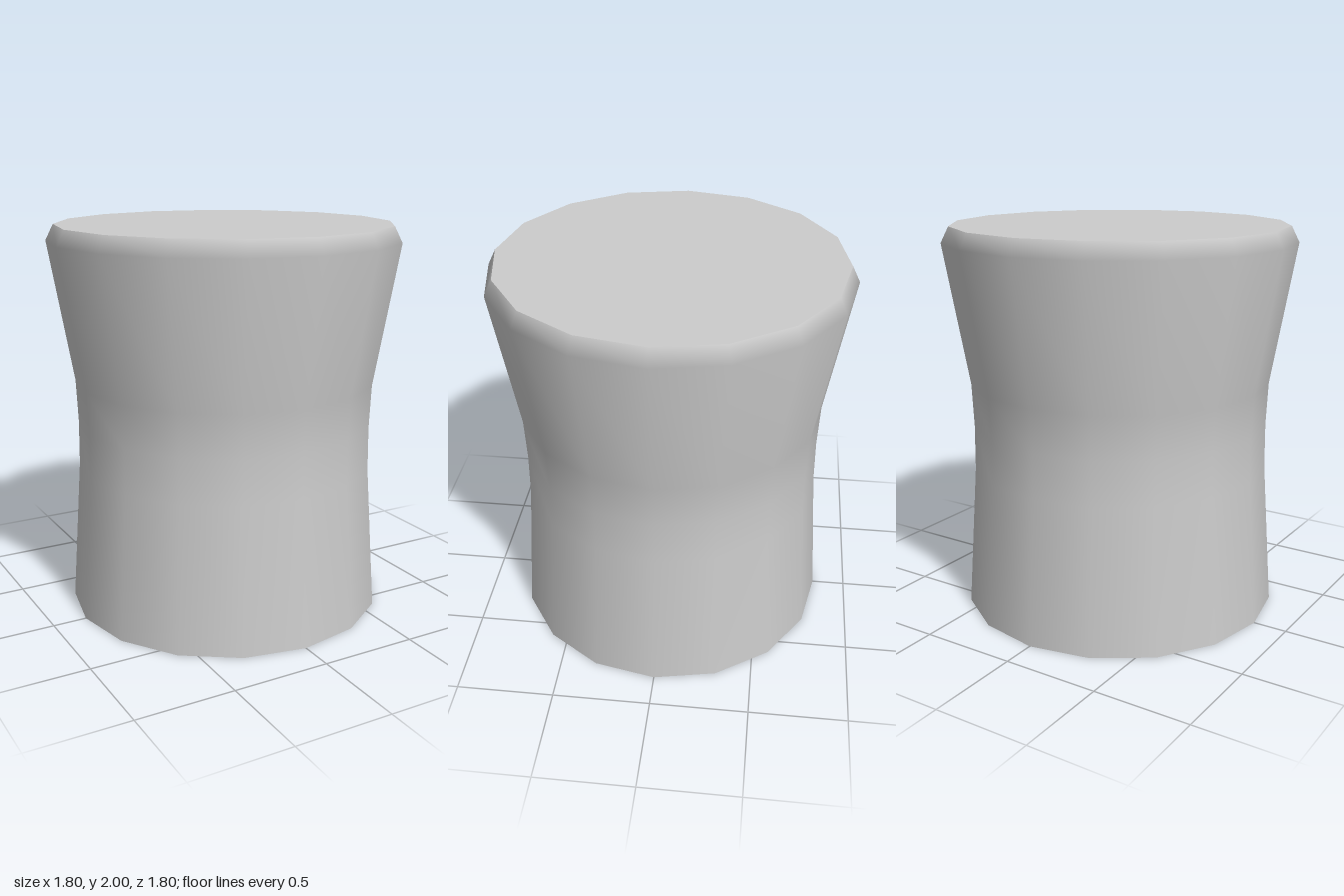
import * as THREE from 'three';

const SIDES = 16;

export function createModel() {
  const group = new THREE.Group();
  group.name = 'waistedStool';
  const material = new THREE.MeshStandardMaterial({ color: 0xcccccc });

  // Radius and height of each ring, from the foot to the bevelled rim
  const rings = [[0.825, 0], [0.772, 0.75], [0.769, 0.98], [0.778, 1.2], [0.9, 1.92], [0.86, 2]];
  const profile = rings.map(([r, y]) => new THREE.Vector2(r, y));

  // Smooth-shaded waisted side wall
  const body = new THREE.Mesh(new THREE.LatheGeometry(profile, SIDES), material);
  body.name = 'body';
  group.add(body);

  // Flat discs that close both ends with a sharp edge
  const addCap = (name, [radius, y], tilt) => {
    const cap = new THREE.Mesh(new THREE.CircleGeometry(radius, SIDES), material);
    cap.name = name;
    cap.rotation.x = tilt;
    cap.position.y = y;
    group.add(cap);
  };
  addCap('top', rings[rings.length - 1], -Math.PI / 2);
  addCap('base', rings[0], Math.PI / 2);

  return group;
}
